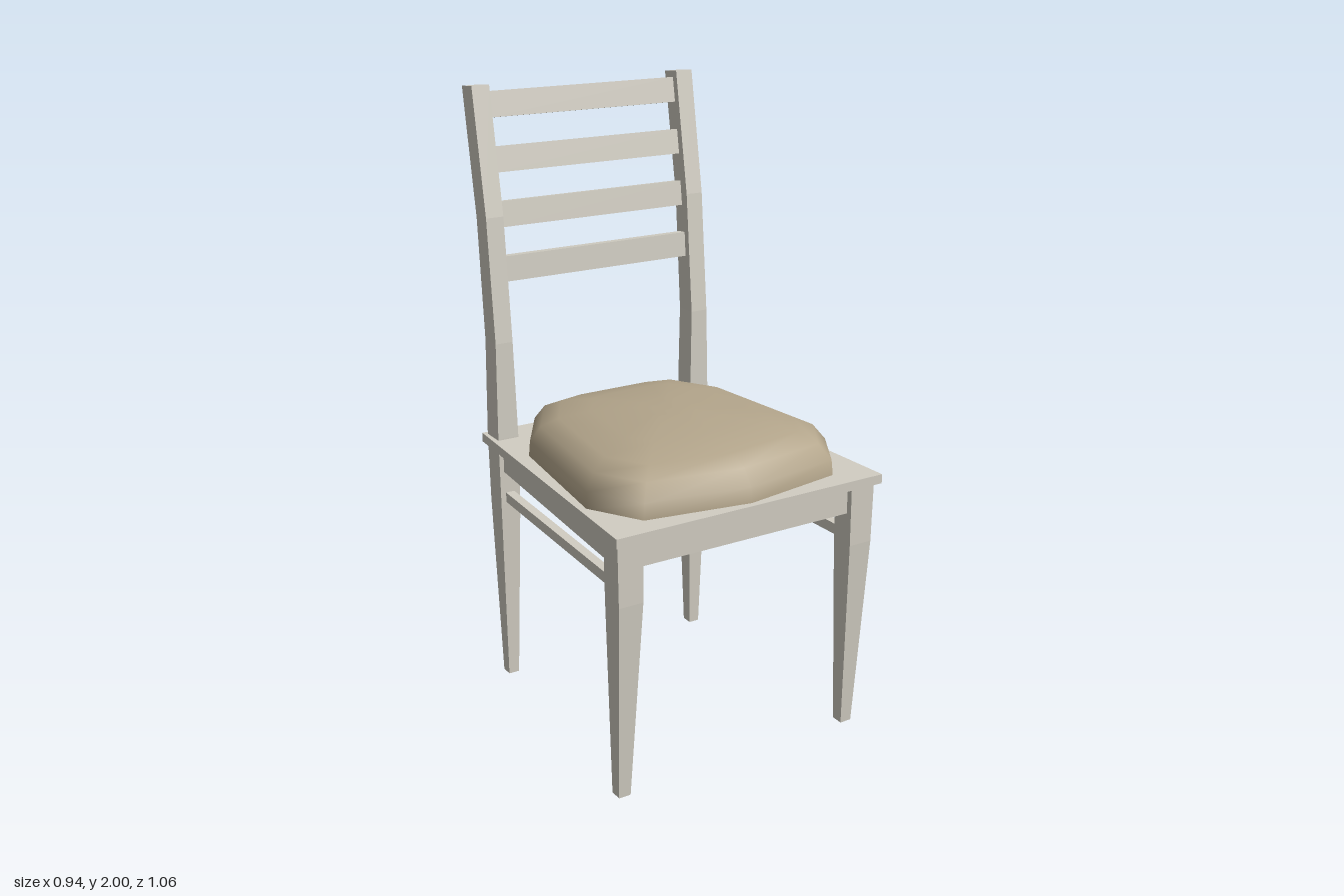
import * as THREE from 'three';

const paint = new THREE.MeshStandardMaterial({ color: 0xd2cec3 });
paint.name = 'pale paint';
const fabric = new THREE.MeshStandardMaterial({ color: 0xb3a58b });
fabric.name = 'tan fabric';

// Skin rings of [x, y, z] points, counter-clockwise from above, bottom ring first.
function loft(rings, smooth, capBottom = true) {
  const n = rings[0].length, last = (rings.length - 1) * n, index = [];
  for (let r = 0; r < rings.length - 1; r++) {
    for (let i = 0; i < n; i++) {
      const a = r * n + i, b = r * n + (i + 1) % n;
      index.push(a, b, b + n, a, b + n, a + n);
    }
  }
  for (let i = 1; i < n - 1; i++) {
    index.push(last, last + i, last + i + 1);
    if (capBottom) index.push(0, i + 1, i);
  }
  let geo = new THREE.BufferGeometry();
  geo.setAttribute('position', new THREE.Float32BufferAttribute(rings.flat(2), 3));
  geo.setIndex(index);
  if (!smooth) geo = geo.toNonIndexed();
  geo.computeVertexNormals();
  return geo;
}

// Rectangular section; the back edge may sit lower or higher than the front.
const rect = (y, x0, x1, z0, z1, yBack = y) =>
  [[x0, y, z1], [x1, y, z1], [x1, yBack, z0], [x0, yBack, z0]];

// Trapezoid slab, wider at the front than at the back.
const trapezoid = (y, front, back, z0, z1, yBack = y) =>
  [[-front, y, z1], [front, y, z1], [back, yBack, z0], [-back, yBack, z0]];

// Mirror a ring across x = 0, keeping its winding.
const mirrorRing = ring => ring.map(([x, y, z]) => [-x, y, z]).reverse();

export function createModel() {
  const chair = new THREE.Group();
  chair.name = 'chair';
  const add = (name, geo, mat = paint) => {
    const mesh = new THREE.Mesh(geo, mat);
    mesh.name = name;
    chair.add(mesh);
    return mesh;
  };
  const addPair = (name, rings) => {
    add('left' + name, loft(rings));
    add('right' + name, loft(rings.map(mirrorRing)));
  };

  // Tapered front legs
  addPair('FrontLeg', [
    rect(0, 0.397, 0.437, 0.432, 0.472),
    rect(0.65, 0.372, 0.453, 0.43, 0.51),
    rect(0.85, 0.37, 0.456, 0.43, 0.51),
  ]);

  // Back legs running up into the swept posts
  addPair('BackPost', [
    rect(0.01, 0.35, 0.387, -0.41, -0.37),
    rect(0.65, 0.333, 0.402, -0.429, -0.351),
    rect(0.88, 0.333, 0.405, -0.43, -0.35),
    rect(1.2, 0.34, 0.4, -0.43, -0.355),
    rect(1.6, 0.34, 0.4, -0.46, -0.391, 1.59),
    rect(2, 0.34, 0.4, -0.53, -0.46, 1.993),
  ]);

  // Side stretchers
  addPair('Stretcher', [
    [[0.382, 0.655, 0.45], [0.412, 0.655, 0.45], [0.383, 0.657, -0.38], [0.353, 0.657, -0.38]],
    [[0.382, 0.69, 0.45], [0.412, 0.69, 0.45], [0.383, 0.69, -0.38], [0.353, 0.69, -0.38]],
  ]);

  // Apron block and seat board
  add('apron', loft([
    trapezoid(0.753, 0.435, 0.385, -0.415, 0.49, 0.765),
    trapezoid(0.847, 0.435, 0.385, -0.415, 0.49),
  ]));
  add('seatBoard', loft([
    trapezoid(0.846, 0.47, 0.417, -0.447, 0.53),
    trapezoid(0.876, 0.47, 0.417, -0.447, 0.53),
  ]));

  // Back slats, tilted with the posts
  const slats = [[1.427, -0.416, 0.08], [1.597, -0.442, 0.13], [1.767, -0.463, 0.17], [1.935, -0.49, 0.17]];
  slats.forEach(([y, z, lean], i) => {
    const slat = add('backSlat' + (i + 1), new THREE.BoxGeometry(0.69, 0.081, 0.034));
    slat.position.set(0, y, z);
    slat.rotation.x = -lean;
  });

  // Soft cushion: one outline shrinking towards the crown
  const half = [[0.337, 0.456], [0.435, 0.293], [0.382, -0.177], [0.266, -0.37], [0.16, -0.395]];
  const outline = [[0, 0.51], ...half, ...half.map(([x, z]) => [-x, z]).reverse()];
  const levels = [[0.875, 1], [0.925, 0.99], [0.973, 0.91], [1.0, 0.78], [1.023, 0.54], [1.034, 0.18]];
  add('cushion', loft(levels.map(([y, s]) =>
    outline.map(([x, z]) => [x * s, y, 0.03 + (z - 0.03) * s])), true, false), fabric);

  return chair;
}
